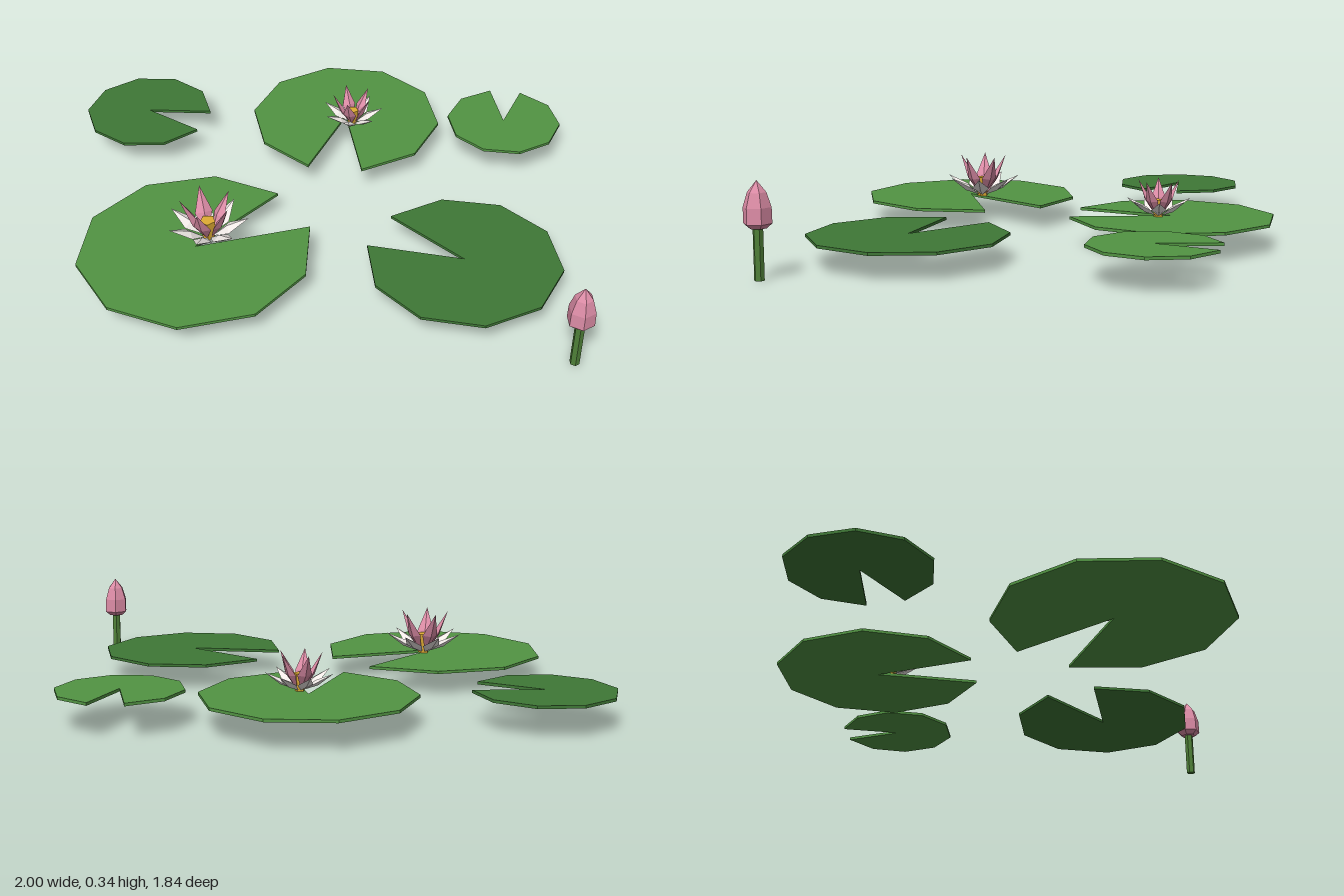
import * as THREE from 'three';

const mat = (color) => new THREE.MeshStandardMaterial({ color, flatShading: true });
const lightGreen = mat(0x529443), darkGreen = mat(0x3f7836), stemGreen = mat(0x4f8038);
const white = mat(0xf0e9e6), pink = mat(0xdc8ca6), yellow = mat(0xe0ac34);
const rad = THREE.MathUtils.degToRad;

function add(parent, name, geometry, material) {
  const mesh = new THREE.Mesh(geometry, material);
  mesh.name = name;
  parent.add(mesh);
  return mesh;
}

// Ten-cornered floating leaf with a wedge notch; start is the angle where the rim begins
function padGeometry(r, start) {
  const shape = new THREE.Shape();
  shape.moveTo(0, 0);
  for (let i = 0; i < 10; i++) {
    const a = rad(start + (i * 328) / 9);
    shape.lineTo(r * Math.cos(a), r * Math.sin(a));
  }
  shape.closePath();
  return new THREE.ExtrudeGeometry(shape, { depth: 0.011, bevelEnabled: false }).rotateX(Math.PI / 2);
}

// Faceted petal along +z from the origin, widest just below the middle
function petalGeometry(length, halfWidth, halfThick) {
  const g = new THREE.OctahedronGeometry(1);
  const p = g.attributes.position;
  for (let i = 0; i < p.count; i++) {
    const z = Math.abs(p.getZ(i)) < 0.01 ? 0.45 : p.getZ(i) > 0 ? 1 : 0;
    p.setXYZ(i, p.getX(i) * halfWidth, p.getY(i) * halfThick, z * length);
  }
  g.computeVertexNormals();
  return g;
}

// Ring of petals, each raised by elevation and turned about the flower's axis
function petalRing(flower, name, count, phase, elevation, geometry, material) {
  for (let i = 0; i < count; i++) {
    const petal = add(flower, name, geometry, material);
    petal.rotation.order = 'YXZ';
    petal.rotation.set(-rad(elevation), Math.PI / 2 - rad(phase + (i * 360) / count), 0);
    petal.position.set(0, 0.005, 0.015).applyAxisAngle(new THREE.Vector3(0, 1, 0), petal.rotation.y);
  }
}

function createFlower() {
  const flower = new THREE.Group();
  flower.name = 'flower';
  petalRing(flower, 'outerPetal', 7, 0, 30, petalGeometry(0.162, 0.036, 0.013), white);
  petalRing(flower, 'innerPetal', 5, 36, 63, petalGeometry(0.188, 0.034, 0.013), pink);
  add(flower, 'flowerCentre', new THREE.CylinderGeometry(0.031, 0.022, 0.08, 5), yellow).position.y = 0.04;
  return flower;
}

export function createModel() {
  const model = new THREE.Group();
  model.name = 'waterLilies';

  // Lily pads: x, top height, z, radius, rim start angle, material
  [
    [-0.497, 0.098, 0.313, 0.446, -14, lightGreen],
    [0.102, 0.113, -0.532, 0.394, 115, lightGreen],
    [0.503, 0.104, 0.42, 0.366, -134, darkGreen],
    [-0.738, 0.122, -0.586, 0.262, 36, darkGreen],
    [0.765, 0.13, -0.452, 0.235, -64.5, lightGreen],
  ].forEach(([x, y, z, r, start, material]) => {
    add(model, 'lilyPad', padGeometry(r, start), material).position.set(x, y, z);
  });

  // Open flowers
  const large = createFlower();
  large.position.set(-0.449, 0.098, 0.257);
  const small = createFlower();
  small.position.set(0.128, 0.113, -0.479);
  small.scale.setScalar(0.81);
  model.add(large, small);

  // Closed bud on its stem
  const bud = new THREE.Group();
  bud.name = 'bud';
  bud.position.set(0.843, 0, 0.866);
  add(bud, 'budStem', new THREE.CylinderGeometry(0.018, 0.018, 0.19, 6), stemGreen).position.y = 0.095;
  const profile = [[0, 0.178], [0.03, 0.178], [0.05, 0.195], [0.049, 0.25], [0.033, 0.3], [0, 0.34]];
  add(bud, 'budHead', new THREE.LatheGeometry(profile.map(([x, y]) => new THREE.Vector2(x, y)), 6), pink);
  model.add(bud);

  return model;
}
